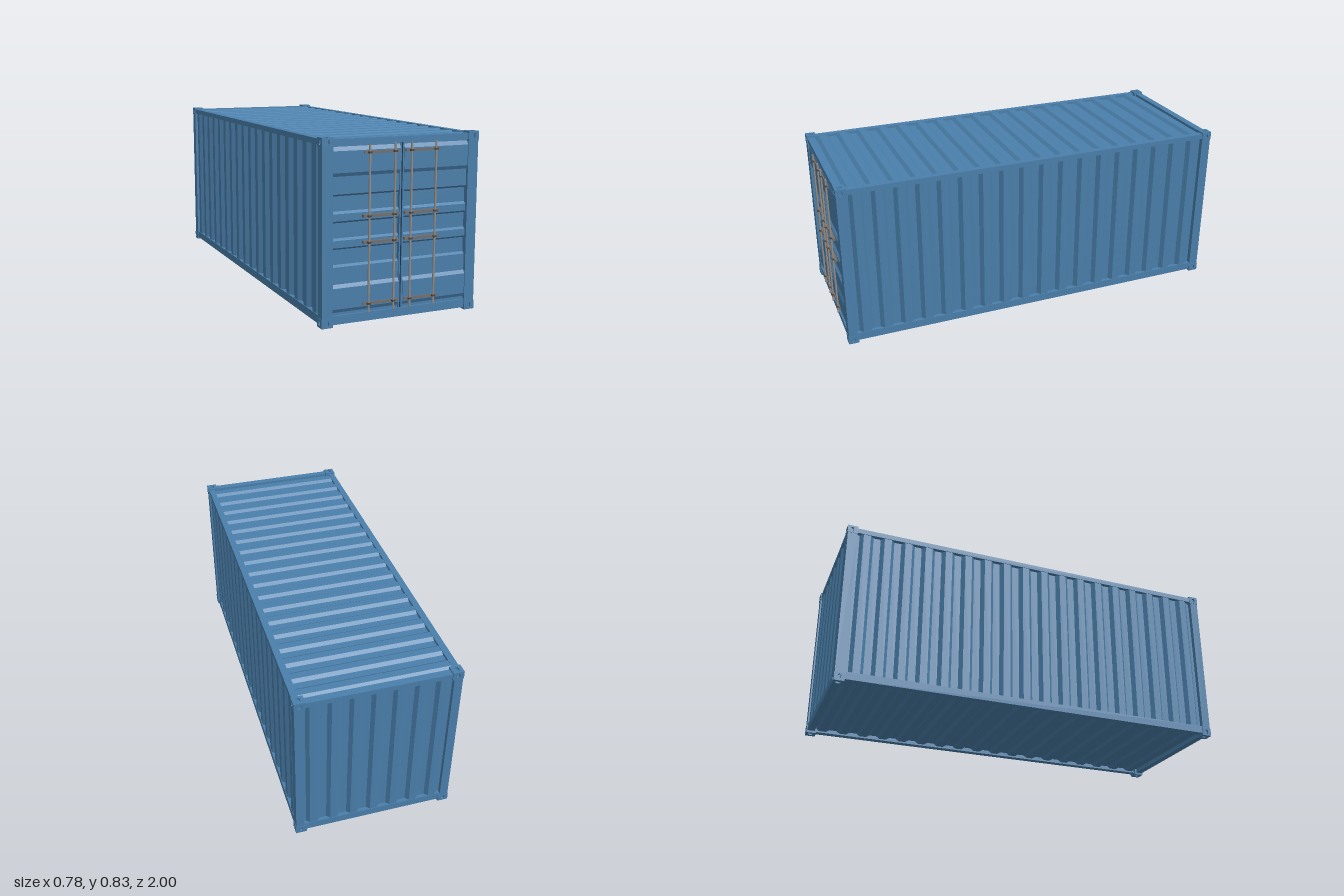
import * as THREE from 'three';

const paint = new THREE.MeshStandardMaterial({ color: 0x4a7fab });
const seal = new THREE.MeshStandardMaterial({ color: 0x1c2c3c });
const steel = new THREE.MeshStandardMaterial({ color: 0x968f89 });
const hardware = new THREE.MeshStandardMaterial({ color: 0x746f6c });
const dark = new THREE.MeshStandardMaterial({ color: 0x4a4644 });

const V = (x, y, z) => new THREE.Vector3(x, y, z);

function add(parent, name, geometry, material = paint) {
  const mesh = new THREE.Mesh(geometry, material);
  mesh.name = name;
  parent.add(mesh);
  return mesh;
}

// Box given by its two opposite corners
function box(parent, name, [x0, x1], [y0, y1], [z0, z1], material) {
  const g = new THREE.BoxGeometry(Math.abs(x1 - x0), Math.abs(y1 - y0), Math.abs(z1 - z0));
  g.translate((x0 + x1) / 2, (y0 + y1) / 2, (z0 + z1) / 2);
  return add(parent, name, g, material);
}

// Folded sheet: profile in (along, outward), extruded by width
function sheet(parent, name, profile, back, width, outward, sweep, origin) {
  const shape = new THREE.Shape();
  shape.moveTo(profile[0][0], back);
  shape.lineTo(profile[profile.length - 1][0], back);
  for (const [u, v] of [...profile].reverse()) shape.lineTo(u, v);
  const g = new THREE.ExtrudeGeometry(shape, { depth: width, bevelEnabled: false });
  g.translate(0, 0, -width / 2);
  const along = outward.clone().cross(sweep);
  g.applyMatrix4(new THREE.Matrix4().makeBasis(along, outward, sweep).setPosition(origin));
  return add(parent, name, g);
}

// Repeated trapezoid ribs, centred on zero
function ribs(length, count, depth) {
  const p = length / count, pts = [[-length / 2, -depth]];
  for (let i = 0; i < count; i++) {
    const s = -length / 2 + i * p;
    pts.push([s + p * 0.17, -depth], [s + p * 0.33, 0], [s + p * 0.67, 0], [s + p * 0.83, -depth]);
  }
  pts.push([length / 2, -depth]);
  return pts;
}

// Plate with a rounded slot through it, front face at z = 0
function slottedPlate(w, h, slotW, slotH, t) {
  const s = new THREE.Shape();
  s.moveTo(-w / 2, -h / 2).lineTo(w / 2, -h / 2).lineTo(w / 2, h / 2).lineTo(-w / 2, h / 2);
  const r = slotW / 2, k = slotH / 2 - r, hole = new THREE.Path();
  hole.absarc(0, k, r, 0, Math.PI, false);
  hole.absarc(0, -k, r, Math.PI, Math.PI * 2, false);
  s.holes.push(hole);
  return new THREE.ExtrudeGeometry(s, { depth: t, bevelEnabled: false, curveSegments: 8 }).translate(0, 0, -t);
}

// Corner casting with slots on its three outer faces
function casting(parent, sx, top, sz) {
  const w = 0.053, h = 0.04, d = 0.05, t = 0.01;
  const sy = top ? 1 : -1, X = 0.388 * sx, Y = top ? 0.83 : 0, Z = sz > 0 ? 0.99 : -1;
  const g = new THREE.Group();
  g.name = 'cornerCasting';
  parent.add(g);
  box(g, 'castingCore', [X - sx * w, X - sx * t], [Y - sy * h, Y - sy * t], [Z - sz * d, Z - sz * t]);
  const end = add(g, 'castingEndPlate', slottedPlate(w, h, 0.016, 0.025, t));
  end.position.set(X - sx * w / 2, Y - sy * h / 2, Z);
  end.rotation.y = sz > 0 ? 0 : Math.PI;
  const side = add(g, 'castingSidePlate', slottedPlate(d, h, 0.016, 0.025, t));
  side.position.set(X, Y - sy * h / 2, Z - sz * d / 2);
  side.rotation.y = sx * Math.PI / 2;
  const cap = add(g, 'castingCapPlate', slottedPlate(w, d, 0.018, 0.028, t));
  cap.position.set(X - sx * w / 2, Y, Z - sz * d / 2);
  cap.rotation.x = -sy * Math.PI / 2;
}

// Height, then offset from the door's base plane
const doorProfile = [
  [0.05, 0], [0.062, 0], [0.078, 0.009], [0.172, 0.009], [0.188, 0], [0.264, 0], [0.273, -0.012],
  [0.34, -0.012], [0.349, 0], [0.381, 0], [0.39, -0.012], [0.457, -0.012], [0.466, 0], [0.498, 0],
  [0.508, -0.012], [0.574, -0.012], [0.583, 0], [0.66, 0], [0.676, 0.009], [0.77, 0.009], [0.788, 0], [0.796, 0],
];

function door(parent, s) {
  const g = new THREE.Group();
  g.name = s > 0 ? 'leftDoor' : 'rightDoor';
  parent.add(g);
  sheet(g, 'doorPanel', doorProfile, -0.03, 0.327, V(0, 0, 1), V(1, 0, 0), V(s * 0.1735, 0, 0.975));
  box(g, 'doorEdge', [s * 0.003, s * 0.01], [0.05, 0.796], [0.95, 0.981]);

  // Locking rods with their cross bars and clamps
  const barHeights = [0.09, 0.365, 0.482, 0.76];
  for (const y of barHeights)
    box(g, 'lockBar', [s * 0.014, s * 0.19], [y - 0.006, y + 0.006], [0.972, 0.99], hardware);
  for (const x of [0.041, 0.164]) {
    const rod = add(g, 'lockRod', new THREE.CylinderGeometry(0.005, 0.005, 0.742, 12), steel);
    rod.position.set(s * x, 0.424, 0.993);
    for (const y of barHeights)
      box(g, 'rodClamp', [s * x - 0.008, s * x + 0.008], [y - 0.004, y + 0.004], [0.985, 1], dark);
  }
}

export function createModel() {
  const model = new THREE.Group();
  model.name = 'shippingContainer';

  // Frame, mirrored left and right
  for (const s of [-1, 1]) {
    box(model, 'frontPost', [s * 0.335, s * 0.386], [0.03, 0.8], [0.945, 0.988]);
    box(model, 'rearPost', [s * 0.345, s * 0.386], [0.03, 0.8], [-0.998, -0.95]);
    box(model, 'topSideRail', [s * 0.353, s * 0.384], [0.797, 0.822], [-0.97, 0.96]);
    box(model, 'bottomSideRail', [s * 0.35, s * 0.384], [0.012, 0.05], [-0.97, 0.96]);
    for (const top of [false, true]) for (const sz of [-1, 1]) casting(model, s, top, sz);
    sheet(model, 'sideWall', ribs(1.9, 18, 0.018), -0.026, 0.76, V(s, 0, 0), V(0, 1, 0), V(s * 0.381, 0.424, -0.003));
  }
  box(model, 'frontHeader', [-0.345, 0.345], [0.796, 0.822], [0.95, 0.986]);
  box(model, 'frontSill', [-0.345, 0.345], [0.025, 0.05], [0.95, 0.986]);
  box(model, 'frontSillLip', [-0.345, 0.345], [0.01, 0.025], [0.95, 0.984]);
  box(model, 'rearHeader', [-0.345, 0.345], [0.797, 0.822], [-0.996, -0.96]);
  box(model, 'rearSill', [-0.345, 0.345], [0.012, 0.05], [-0.996, -0.96]);

  // Ribbed rear wall, roof and floor
  sheet(model, 'rearWall', ribs(0.7, 7, 0.016), -0.024, 0.76, V(0, 0, -1), V(0, 1, 0), V(0, 0.424, -0.994));
  sheet(model, 'roof', ribs(1.93, 18, 0.012), -0.018, 0.715, V(0, 1, 0), V(1, 0, 0), V(0, 0.82, -0.005));
  sheet(model, 'floor', ribs(1.93, 18, 0.012), -0.018, 0.715, V(0, -1, 0), V(1, 0, 0), V(0, 0.02, -0.005));

  // Doors and the seal between them
  door(model, 1);
  door(model, -1);
  box(model, 'doorSeal', [-0.003, 0.003], [0.05, 0.796], [0.94, 0.978], seal);

  return model;
}
